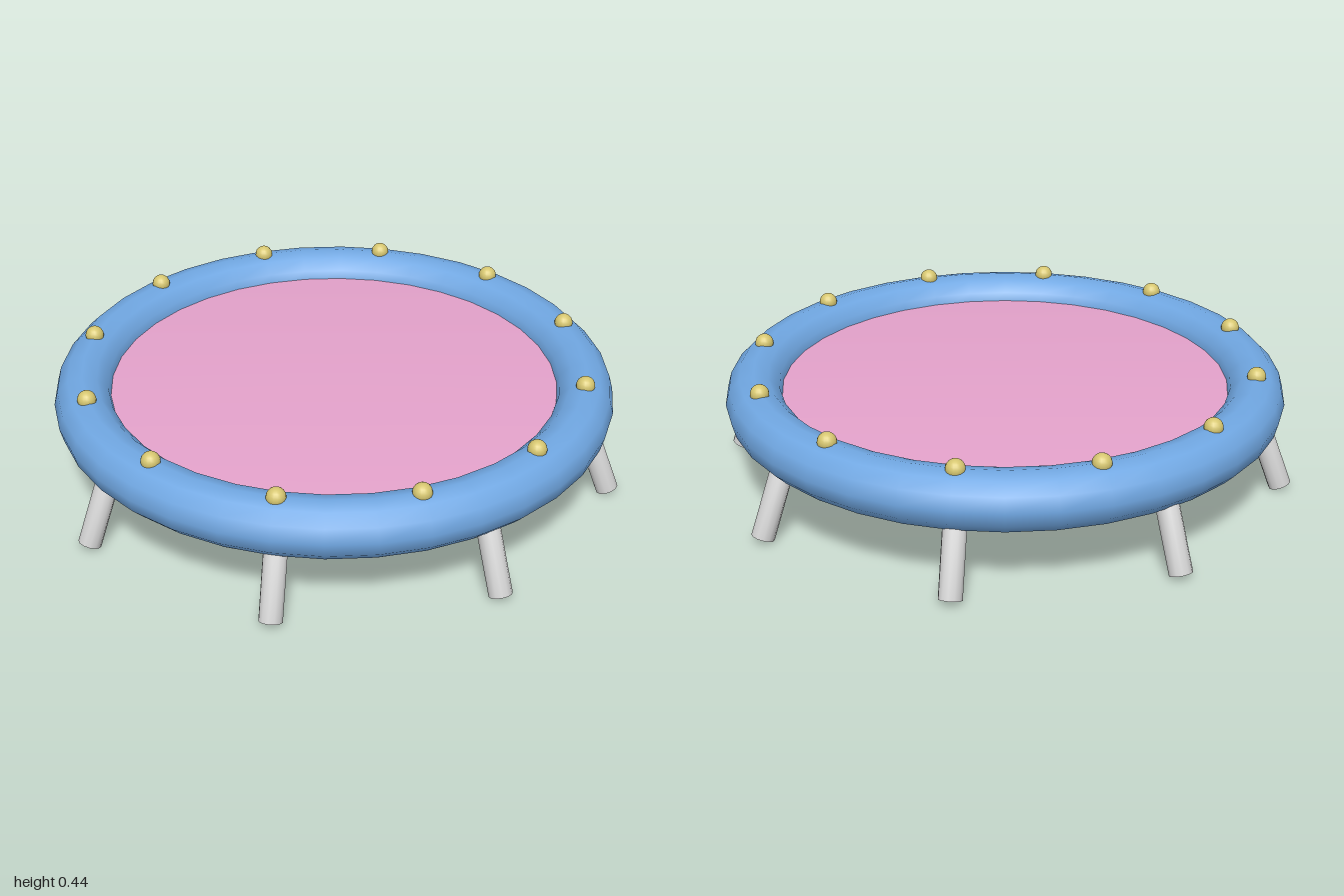
import * as THREE from 'three';
import { mergeVertices } from 'three/addons/utils/BufferGeometryUtils.js';

const paint = (name, color) => {
  const m = new THREE.MeshStandardMaterial({ color });
  m.name = name;
  return m;
};

// weld a geometry so its normals run smoothly over the edges
const weld = (geometry) => {
  geometry.deleteAttribute('normal');
  geometry.deleteAttribute('uv');
  const welded = mergeVertices(geometry, 1e-4);
  welded.computeVertexNormals();
  return welded;
};

export function createModel() {
  const blue = paint('blue padding', 0x70a7e2);
  const pink = paint('pink fabric', 0xe4a2cb);
  const gold = paint('gold', 0xd6c670);
  const grey = paint('light grey metal', 0xd8d8d8);

  const model = new THREE.Group();
  model.name = 'trampoline';
  const add = (parent, name, geometry, material) => {
    const mesh = new THREE.Mesh(geometry, material);
    mesh.name = name;
    parent.add(mesh);
    return mesh;
  };

  const R = 0.862, tube = 0.099, ringY = 0.313;

  // padded ring
  const ring = add(model, 'paddedRing', new THREE.TorusGeometry(R, tube, 12, 36).rotateX(Math.PI / 2), blue);
  ring.position.y = ringY;

  // jumping mat, its rim tucked inside the ring
  const mat = add(model, 'jumpingMat', weld(new THREE.CylinderGeometry(0.775, 0.775, 0.04, 36)), pink);
  mat.position.y = ringY;

  // studs along the crest of the ring
  const studGeometry = new THREE.SphereGeometry(0.032, 16, 12);
  for (let i = 0; i < 12; i++) {
    const a = (i / 12) * Math.PI * 2;
    const stud = add(model, 'stud', studGeometry, gold);
    stud.position.set(R * Math.cos(a), ringY + tube, R * Math.sin(a));
  }

  // splayed legs, modelled from the foot up
  const legGeometry = weld(new THREE.CylinderGeometry(0.039, 0.039, 0.28, 12).translate(0, 0.14, 0));
  for (let i = 0; i < 8; i++) {
    const pivot = new THREE.Group();
    pivot.name = 'leg';
    pivot.rotation.y = (i / 8) * Math.PI * 2;
    const leg = add(pivot, 'legTube', legGeometry, grey);
    leg.position.set(0.963, 0.014, 0);
    leg.rotation.z = 0.36;
    model.add(pivot);
  }

  return model;
}
